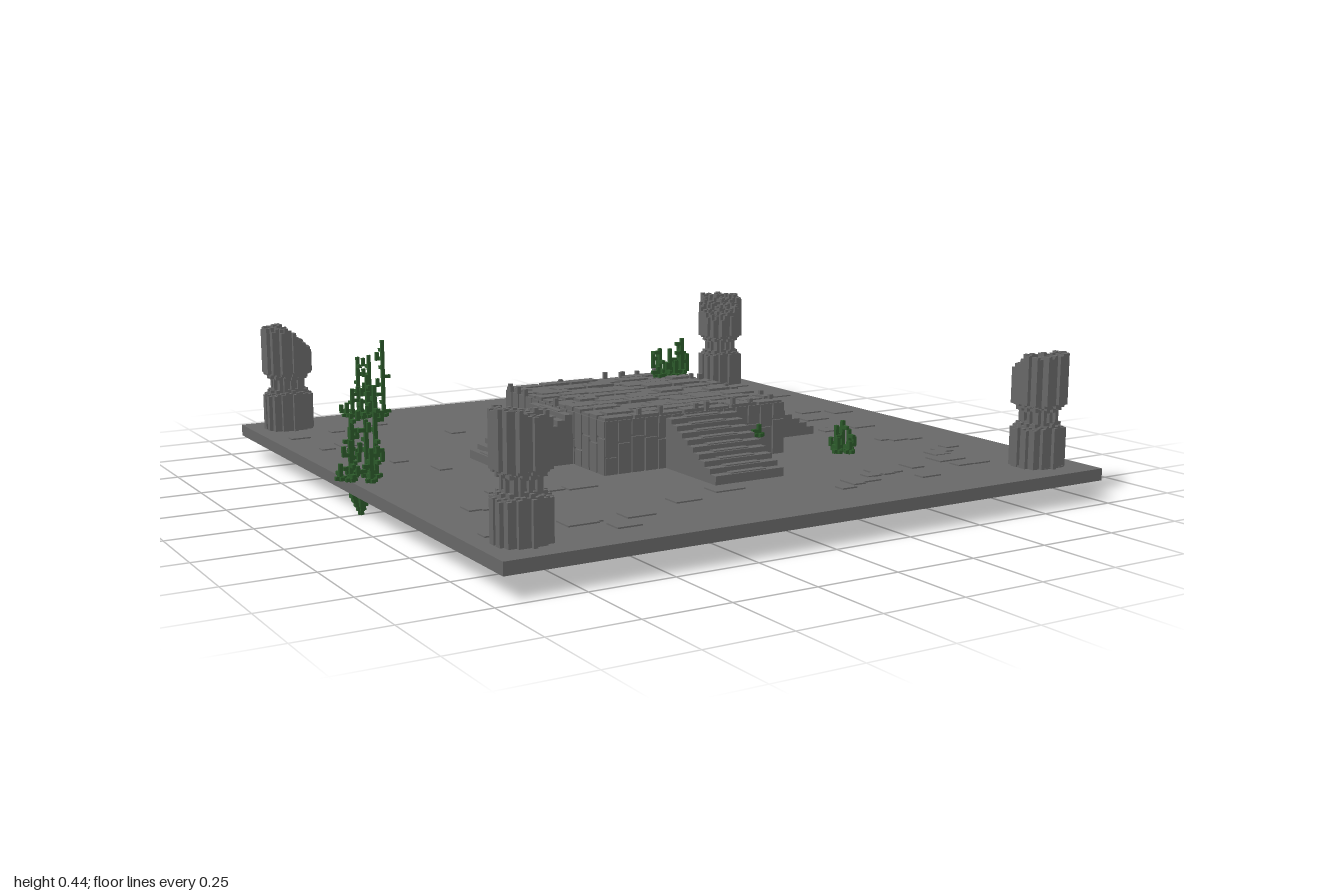
import * as THREE from 'three';
import { mergeGeometries } from 'three/addons/utils/BufferGeometryUtils.js';

export function createModel() {
  const root = new THREE.Group();
  const stone = new THREE.MeshStandardMaterial({ name: 'stone', color: 0x686868 });
  const leaf = new THREE.MeshStandardMaterial({ name: 'leaf', color: 0x2c5a2a });

  let seed = 7;
  const rand = () => (seed = (seed * 16807) % 2147483647) / 2147483647;
  const between = (a, b) => a + (b - a) * rand();

  // Box given by its low and high limits on each axis
  const block = (x0, x1, y0, y1, z0, z1) =>
    new THREE.BoxGeometry(x1 - x0, y1 - y0, z1 - z0)
      .translate((x0 + x1) / 2, (y0 + y1) / 2, (z0 + z1) / 2);
  const add = (name, parts, material) => {
    const mesh = new THREE.Mesh(mergeGeometries(parts), material);
    mesh.name = name;
    root.add(mesh);
    return mesh;
  };

  // Floor slab, with shallow panels beneath
  const floor = [block(-0.965, 0.995, 0.064, 0.1, -0.985, 0.975)];
  for (const [x, z] of [[0.65, -0.5], [-0.31, -0.52], [0.43, 0.65], [-0.6, 0.63]])
    floor.push(block(x - 0.33, x + 0.33, 0.059, 0.066, z - 0.3, z + 0.3));
  add('floorSlab', floor, stone);

  // Slightly raised paving stones scattered over the floor
  const paving = [];
  while (paving.length < 60) {
    const x = between(-0.88, 0.9), z = between(-0.9, 0.88);
    if (Math.abs(x) < 0.62 && Math.abs(z) < 0.62 && (Math.abs(x) < 0.38 || Math.abs(z) < 0.38)) continue;
    const w = between(0.02, 0.05), d = between(0.015, 0.035);
    paving.push(block(x - w, x + w, 0.098, 0.104, z - d, z + d));
  }
  add('pavingStones', paving, stone);

  // Platform core
  const X0 = -0.31, X1 = 0.325, Z0 = -0.325, Z1 = 0.31;
  add('platformCore', [block(X0 + 0.007, X1 - 0.007, 0.1, 0.256, Z0 + 0.007, Z1 - 0.007)], stone);

  // Staggered bricks on the platform top
  const bricks = [];
  const rows = 13, rowDepth = (Z1 - Z0) / rows;
  for (let r = 0; r < rows; r++) {
    const z = Z0 + r * rowDepth;
    for (let x = X0 - (r % 2) * 0.05; x < X1 - 0.01;) {
      const next = x + between(0.075, 0.115);
      const a = Math.max(x, X0), b = Math.min(next, X1);
      if (b - a > 0.015)
        bricks.push(block(a + 0.004, b - 0.004, 0.25, between(0.264, 0.272), z + 0.004, z + rowDepth - 0.004));
      x = next;
    }
  }
  // Small chipped lumps on the edge
  for (let i = 0; i < 22; i++) {
    const t = between(-0.3, 0.3), s = i % 2 ? Z0 + 0.012 : Z1 - 0.012;
    const [x, z] = i % 4 < 2 ? [t, s] : [s, t];
    bricks.push(block(x - 0.006, x + 0.006, 0.26, between(0.275, 0.287), z - 0.006, z + 0.006));
  }
  add('platformBricks', bricks, stone);

  // Upright facing blocks on the platform sides
  const facing = [];
  for (let i = 0; i < 14; i++) {
    const step = (X1 - X0) / 14, a = i * step + 0.003, b = (i + 1) * step - 0.003;
    const split = between(0.15, 0.21);
    for (const [y0, y1] of [[0.1, split - 0.003], [split + 0.003, 0.258]]) {
      facing.push(block(X0 + a, X0 + b, y0, y1, Z0, Z0 + 0.02), block(X0 + a, X0 + b, y0, y1, Z1 - 0.02, Z1));
      facing.push(block(X0, X0 + 0.02, y0, y1, Z0 + a, Z0 + b), block(X1 - 0.02, X1, y0, y1, Z0 + a, Z0 + b));
    }
  }
  add('platformFacing', facing, stone);

  // Four stairs, each a row of full-height steps
  const STEPS = 9;
  [[0, 0.31, 0.575], [Math.PI / 2, 0.32, 0.58], [Math.PI, 0.325, 0.55], [-Math.PI / 2, 0.31, 0.537]]
    .forEach(([angle, inner, outer], n) => {
      const run = (outer - inner) / STEPS, steps = [];
      for (let i = 0; i < STEPS; i++) {
        const top = 0.25 - i * 0.0155;
        steps.push(block(-0.117, 0.117, 0.1, top, inner + i * run - 0.01, inner + (i + 1) * run));
        // Worn centre tread
        steps.push(block(-0.06, 0.06, top - 0.005, top + 0.003, inner + i * run, inner + (i + 1) * run - 0.007));
      }
      const mesh = add(['front', 'left', 'back', 'right'][n] + 'Stairs', steps, stone);
      mesh.rotation.y = angle;
      mesh.position.set(n % 2 ? 0 : 0.015, 0, n % 2 ? 0.003 : 0);
    });

  // Broken fluted pillars made of small square columns; (sx, sz) is the way the top falls
  const CELL = 0.0115;
  const pillar = (name, cx, cz, sx, sz) => {
    const parts = [], len = Math.hypot(sx, sz);
    for (let i = -7; i <= 7; i++) for (let j = -7; j <= 7; j++) {
      const x = i * CELL, z = j * CELL;
      const d = Math.hypot(x, z) + 0.004 * Math.cos(14 * Math.atan2(z, x));
      if (d > 0.077) continue;
      const along = (x * sx + z * sz) / len;
      const top = 0.432 - Math.max(0, along + 0.015) * 0.85 + between(-0.008, 0.012);
      const column = (y0, y1) =>
        parts.push(block(x - CELL / 2, x + CELL / 2, y0, y1, z - CELL / 2, z + CELL / 2));
      if (d < 0.049) column(0.1, top);
      else {
        const t = (d - 0.049) / 0.028;
        if (d < 0.072) column(0.1, 0.238 - 0.03 * t);
        column(0.262 + 0.032 * t, top);
      }
    }
    add(name, parts, stone).position.set(cx, 0, cz);
  };
  pillar('backRightPillar', -0.845, -0.858, 1, 0.1);
  pillar('frontRightPillar', -0.845, 0.838, 1, -1);
  pillar('frontLeftPillar', 0.865, 0.838, 0.1, -1);
  pillar('backLeftPillar', 0.865, -0.858, -1, 1);

  // Plants: thin square stems [x, z, top] with small cross-shaped leaves
  const plant = (name, base, stems, hanging) => {
    const parts = [], S = 0.0055;
    const bit = (x, y, z, w, h, d) => parts.push(block(x - w, x + w, y - h, y + h, z - d, z + d));
    for (const [x, z, top] of stems) {
      bit(x, (base + top) / 2, z, S, (top - base) / 2, S);
      for (let y = base + 0.02; y < top - 0.01; y += 0.03) {
        const side = rand() < 0.5 ? -1 : 1;
        if (rand() < 0.5) bit(x + side * 0.011, y, z, 0.014, S, S);
        else bit(x, y, z + side * 0.011, S, S, 0.014);
        if (rand() < 0.4) bit(x + side * 0.02, y + 0.011, z, S, 0.014, S);
      }
      bit(x, base + 0.008, z, 0.017, S, S);
      bit(x, base + 0.008, z, S, S, 0.017);
    }
    // Tapering root clump below the floor
    if (hanging) for (let i = 0; i < 5; i++) {
      const w = 0.03 - i * 0.0055;
      bit(hanging[0], 0.057 - i * 0.0127, hanging[1], w, 0.0065, w * 0.45);
      bit(hanging[0], 0.057 - i * 0.0127, hanging[1], w * 0.45, 0.0065, w);
    }
    add(name, parts, leaf);
  };
  plant('backPlant', 0.1, [
    [-0.505, -0.87, 0.365], [-0.535, -0.92, 0.31], [-0.56, -0.96, 0.3], [-0.56, -0.88, 0.25],
    [-0.6, -0.915, 0.2], [-0.585, -0.87, 0.17], [-0.545, -0.82, 0.14], [-0.615, -0.93, 0.15],
  ], [-0.565, -0.89]);
  plant('sidePlant', 0.1, [
    [-0.885, 0, 0.37], [-0.945, -0.03, 0.29], [-0.965, 0.01, 0.22], [-0.985, -0.02, 0.15],
    [-0.92, 0.05, 0.2], [-0.93, -0.08, 0.24], [-0.905, -0.02, 0.27],
  ], [-0.935, 0]);
  plant('platformPlant', 0.262, [
    [0.215, -0.25, 0.3], [0.24, -0.28, 0.355], [0.27, -0.34, 0.33], [0.3, -0.24, 0.39], [0.32, -0.29, 0.365],
    [0.27, -0.23, 0.32], [0.285, -0.29, 0.35], [0.31, -0.26, 0.31], [0.25, -0.25, 0.31], [0.29, -0.32, 0.3],
  ]);
  plant('floorPlant', 0.1, [
    [0.48, 0.4, 0.2], [0.455, 0.41, 0.15], [0.505, 0.4, 0.17], [0.485, 0.43, 0.14], [0.48, 0.37, 0.18],
  ]);
  plant('wallPlant', 0.16, [[0.225, 0.317, 0.2]]);

  return root;
}
